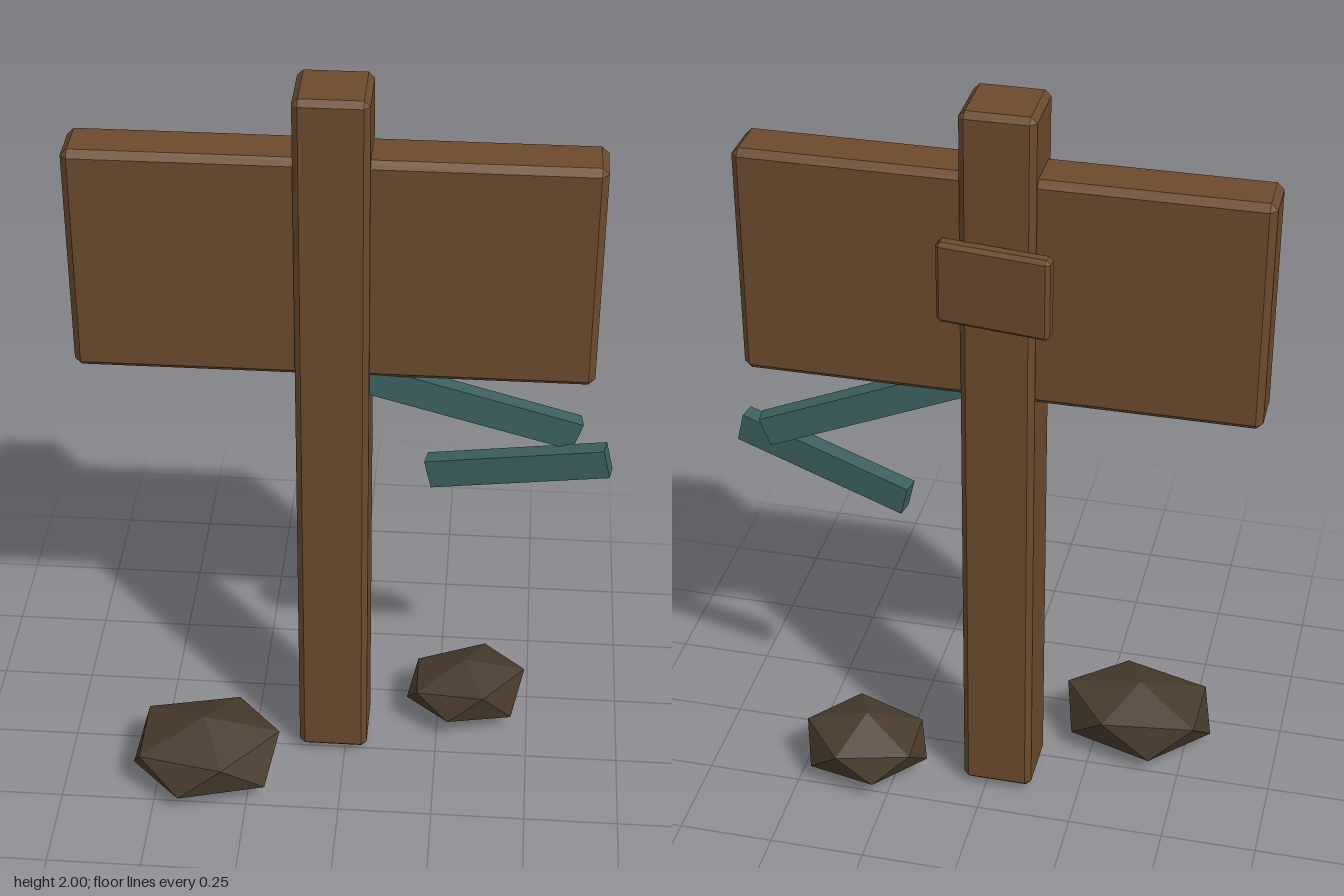
import * as THREE from 'three';
import { ConvexGeometry } from 'three/addons/geometries/ConvexGeometry.js';

const flat = (name, color) => {
  const m = new THREE.MeshStandardMaterial({ color, flatShading: true });
  m.name = name;
  return m;
};

// Box with a flat chamfer along every edge
function chamferBox(w, h, d, c) {
  const pts = [];
  for (const x of [-1, 1]) for (const y of [-1, 1]) for (const z of [-1, 1]) {
    const [a, b, e] = [w / 2, h / 2, d / 2];
    pts.push(
      new THREE.Vector3(x * a, y * (b - c), z * (e - c)),
      new THREE.Vector3(x * (a - c), y * b, z * (e - c)),
      new THREE.Vector3(x * (a - c), y * (b - c), z * e));
  }
  return new ConvexGeometry(pts);
}

export function createModel() {
  const group = new THREE.Group();
  const wood = flat('brown wood', 0x6b4a2d);
  const cloth = flat('teal cloth', 0x3c6060);
  const stone = flat('dark stone', 0x483a2c);

  const add = (name, geometry, material, x = 0, y = 0, z = 0) => {
    const mesh = new THREE.Mesh(geometry, material);
    mesh.name = name;
    mesh.position.set(x, y, z);
    group.add(mesh);
    return mesh;
  };

  // Post, board and the small crooked plate on the back
  add('post', chamferBox(0.185, 1.98, 0.182, 0.015), wood, -0.032, 1.01, -0.07);
  add('signBoard', chamferBox(1.3, 0.605, 0.142, 0.017), wood, -0.03, 1.533, -0.071);
  add('backPlate', chamferBox(0.287, 0.215, 0.042, 0.01), wood, -0.031, 1.562, -0.178)
    .rotation.y = -0.125;

  // Hanging strips, each a thin bar running from a to b
  const strip = (name, a, b) => {
    const from = new THREE.Vector3(...a), to = new THREE.Vector3(...b);
    const along = to.clone().sub(from);
    const mesh = add(name, new THREE.BoxGeometry(along.length(), 0.08, 0.045), cloth);
    mesh.position.copy(from).add(to).multiplyScalar(0.5);
    const x = along.normalize();
    const z = new THREE.Vector3().crossVectors(x, new THREE.Vector3(0, 1, 0)).normalize();
    const y = new THREE.Vector3().crossVectors(z, x);
    mesh.quaternion.setFromRotationMatrix(new THREE.Matrix4().makeBasis(x, y, z));
  };
  strip('upperStrip', [0.02, 1.235, -0.025], [0.586, 1.032, -0.093]);
  strip('lowerStrip', [0.212, 0.885, -0.108], [0.668, 0.996, -0.029]);

  // Rocks: twenty-sided, corners zigzag between a lower and an upper ring
  const rock = (name, corners) =>
    add(name, new ConvexGeometry(corners.map(p => new THREE.Vector3(...p))), stone);
  rock('frontRock', [
    [-0.37, 0.205, 0.13], [-0.36, 0.005, 0.15],
    [-0.567, 0.045, 0.147], [-0.535, 0.145, 0.03], [-0.42, 0.05, -0.012],
    [-0.29, 0.155, -0.015], [-0.195, 0.06, 0.05], [-0.167, 0.17, 0.135],
    [-0.2, 0.06, 0.238], [-0.31, 0.15, 0.285], [-0.427, 0.06, 0.3], [-0.537, 0.14, 0.23],
  ]);
  rock('backRock', [
    [0.325, 0.203, -0.165], [0.33, 0.032, -0.17],
    [0.163, 0.065, -0.155], [0.19, 0.135, -0.24], [0.28, 0.065, -0.293],
    [0.375, 0.148, -0.305], [0.463, 0.06, -0.25], [0.488, 0.165, -0.18],
    [0.455, 0.06, -0.096], [0.376, 0.165, -0.043], [0.281, 0.085, -0.034], [0.193, 0.14, -0.086],
  ]);

  return group;
}
